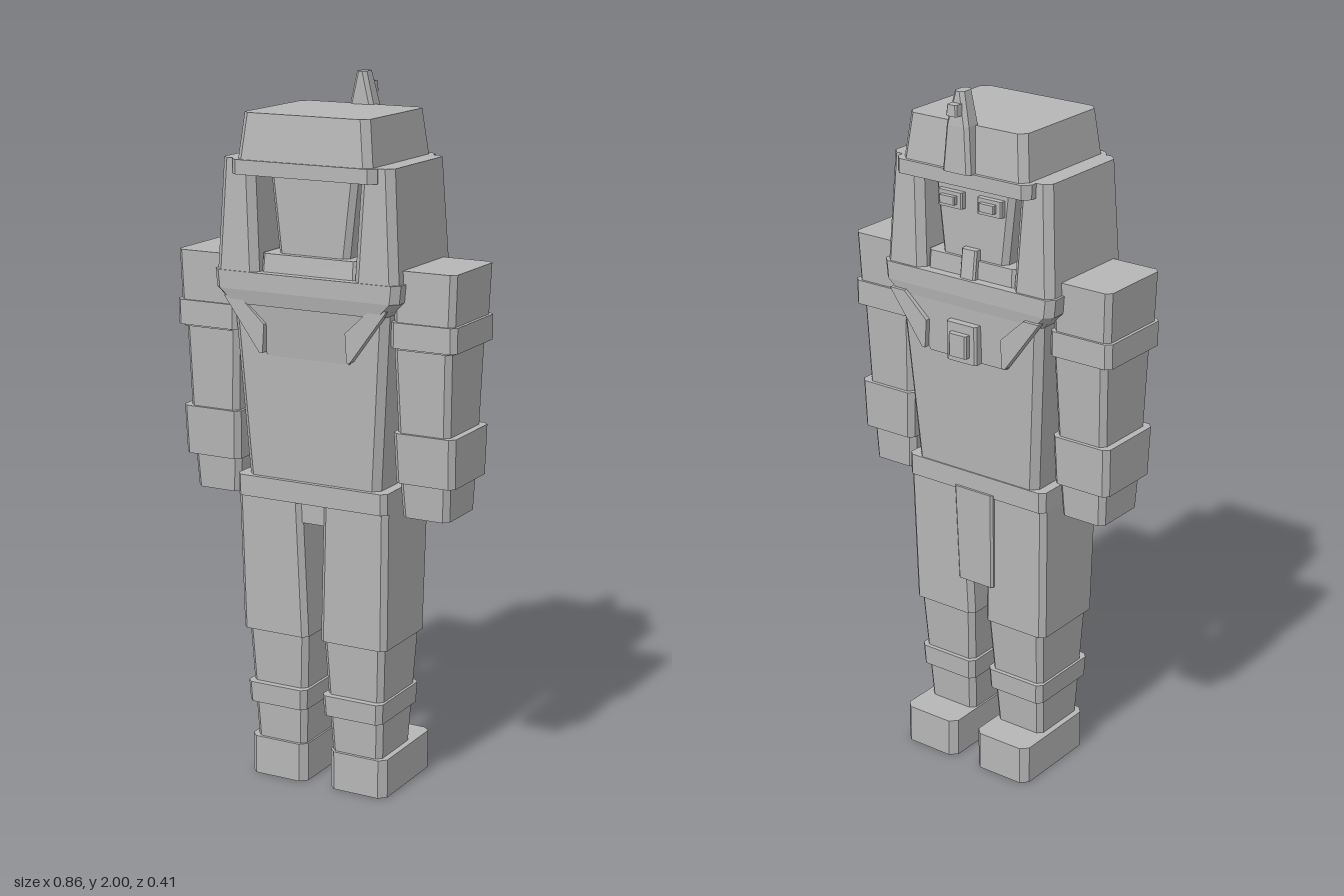
import * as THREE from 'three';

const grey = new THREE.MeshStandardMaterial({ color: 0xb6b6b6 });
grey.name = 'plain grey';

// Lofted block with chamfered corners; each section is [y, x0, x1, z0, z1], bottom to top
function blockGeometry(sections, c) {
  const rings = sections.map(([y, x0, x1, z0, z1]) => [
    [x1, y, z1 - c], [x1, y, z0 + c], [x1 - c, y, z0], [x0 + c, y, z0],
    [x0, y, z0 + c], [x0, y, z1 - c], [x0 + c, y, z1], [x1 - c, y, z1],
  ]);
  const pos = [];
  const tri = (...pts) => pts.forEach((p) => pos.push(...p));
  for (let s = 0; s < rings.length - 1; s++) {
    const lo = rings[s], hi = rings[s + 1];
    for (let i = 0; i < 8; i++) {
      const j = (i + 1) % 8;
      tri(lo[i], lo[j], hi[j]);
      tri(lo[i], hi[j], hi[i]);
    }
  }
  const bottom = rings[0], top = rings[rings.length - 1];
  for (let i = 1; i < 7; i++) {
    tri(top[0], top[i], top[i + 1]);
    tri(bottom[0], bottom[i + 1], bottom[i]);
  }
  const g = new THREE.BufferGeometry();
  g.setAttribute('position', new THREE.Float32BufferAttribute(pos, 3));
  g.computeVertexNormals();
  return g;
}

export function createModel() {
  const model = new THREE.Group();
  model.name = 'armouredRobot';

  const add = (name, geometry) => {
    const mesh = new THREE.Mesh(geometry, grey);
    mesh.name = name;
    model.add(mesh);
  };
  const block = (name, sections, c = 0.015) => add(name, blockGeometry(sections, c));
  const pair = (name, sections, c = 0.015) => {
    block(name + 'Left', sections, c);
    block(name + 'Right', sections.map(([y, x0, x1, z0, z1]) => [y, -x1, -x0, z0, z1]), c);
  };

  // Helmet dome and brim
  block('helmet', [[1.78, -0.205, 0.205, -0.165, 0.2], [1.91, -0.19, 0.19, -0.15, 0.187]], 0.02);
  block('helmetBrim', [[1.745, -0.22, 0.22, -0.175, 0.205], [1.785, -0.22, 0.22, -0.175, 0.205]], 0.02);
  pair('helmetSide', [[1.44, 0.145, 0.28, -0.15, 0.19], [1.785, 0.163, 0.26, -0.135, 0.18]], 0.02);

  // Crest above the brow
  block('crest', [
    [1.785, -0.046, 0.046, -0.192, -0.135], [1.91, -0.036, 0.036, -0.187, -0.13],
    [2.0, -0.015, 0.015, -0.178, -0.13]], 0.01);
  block('crestStud', [[1.94, -0.018, 0.018, -0.207, -0.17], [1.97, -0.015, 0.015, -0.205, -0.17]], 0.004);

  // Head inside the helmet, with eyes and chin
  block('head', [[1.5, -0.105, 0.105, -0.115, 0.14], [1.76, -0.135, 0.135, -0.115, 0.14]]);
  block('neckRing', [[1.44, -0.148, 0.148, -0.13, 0.17], [1.53, -0.145, 0.145, -0.125, 0.16]], 0.01);
  pair('eyeFrame', [[1.665, 0.025, 0.105, -0.132, -0.11], [1.71, 0.025, 0.105, -0.132, -0.11]], 0.004);
  pair('eye', [[1.677, 0.04, 0.09, -0.146, -0.13], [1.7, 0.04, 0.09, -0.146, -0.13]], 0.003);
  block('chin', [[1.48, -0.025, 0.025, -0.145, -0.11], [1.56, -0.025, 0.025, -0.135, -0.11]], 0.005);

  // Torso, collar and tapered chest plate
  block('torso', [[0.88, -0.205, 0.205, -0.11, 0.145], [1.44, -0.243, 0.243, -0.143, 0.168]], 0.02);
  block('collar', [
    [1.39, -0.24, 0.24, -0.15, 0.185], [1.43, -0.28, 0.28, -0.155, 0.192],
    [1.48, -0.285, 0.285, -0.155, 0.192]], 0.02);
  block('chestPlate', [[1.25, -0.13, 0.13, -0.145, 0.163], [1.42, -0.25, 0.25, -0.152, 0.183]], 0.006);

  // Slanted chest straps on both faces
  for (const side of [-1, 1]) {
    const pts = [[0.25, 1.41], [0.2, 1.41], [0.125, 1.34], [0.13, 1.26], [0.14, 1.26]];
    const shape = new THREE.Shape(pts.map(([x, y]) => new THREE.Vector2(side * x, y)));
    for (const [name, z] of [['frontStrap', -0.163], ['backStrap', 0.163]]) {
      const g = new THREE.ExtrudeGeometry(shape, { depth: 0.024, bevelEnabled: false });
      g.translate(0, 0, z);
      add(name, g);
    }
  }

  // Chest badge block
  block('chestBlock', [[1.25, -0.05, 0.05, -0.172, -0.12], [1.36, -0.05, 0.05, -0.172, -0.12]], 0.006);
  block('chestButton', [[1.27, -0.03, 0.03, -0.19, -0.16], [1.335, -0.03, 0.03, -0.19, -0.16]], 0.005);

  // Belt, hips and front plate
  block('belt', [[0.84, -0.235, 0.235, -0.115, 0.16], [0.9, -0.235, 0.235, -0.115, 0.16]]);
  block('hips', [[0.78, -0.2, 0.2, -0.1, 0.14], [0.85, -0.2, 0.2, -0.1, 0.14]]);
  block('frontPlate', [[0.56, -0.06, 0.06, -0.113, -0.085], [0.85, -0.066, 0.066, -0.122, -0.085]], 0.006);

  // Arms
  pair('upperArm', [[1.3, 0.245, 0.42, -0.09, 0.14], [1.515, 0.24, 0.428, -0.098, 0.143]]);
  pair('upperArmBand', [[1.305, 0.235, 0.432, -0.1, 0.147], [1.375, 0.235, 0.432, -0.1, 0.147]]);
  pair('forearm', [[1.05, 0.25, 0.405, -0.078, 0.125], [1.31, 0.24, 0.412, -0.09, 0.135]]);
  pair('wristBand', [[0.93, 0.245, 0.422, -0.085, 0.128], [1.07, 0.24, 0.425, -0.09, 0.135]]);
  pair('hand', [[0.83, 0.257, 0.397, -0.065, 0.108], [0.94, 0.25, 0.402, -0.07, 0.115]]);

  // Legs and feet
  pair('thigh', [[0.445, 0.02, 0.228, -0.1, 0.145], [0.85, 0.034, 0.235, -0.11, 0.153]]);
  pair('shin', [[0.1, 0.043, 0.2, -0.068, 0.115], [0.45, 0.025, 0.216, -0.095, 0.134]]);
  pair('shinBand', [[0.225, 0.028, 0.213, -0.092, 0.142], [0.285, 0.025, 0.216, -0.095, 0.145]]);
  pair('foot', [[0, 0.037, 0.218, -0.168, 0.125], [0.113, 0.037, 0.218, -0.168, 0.125]], 0.02);

  return model;
}
